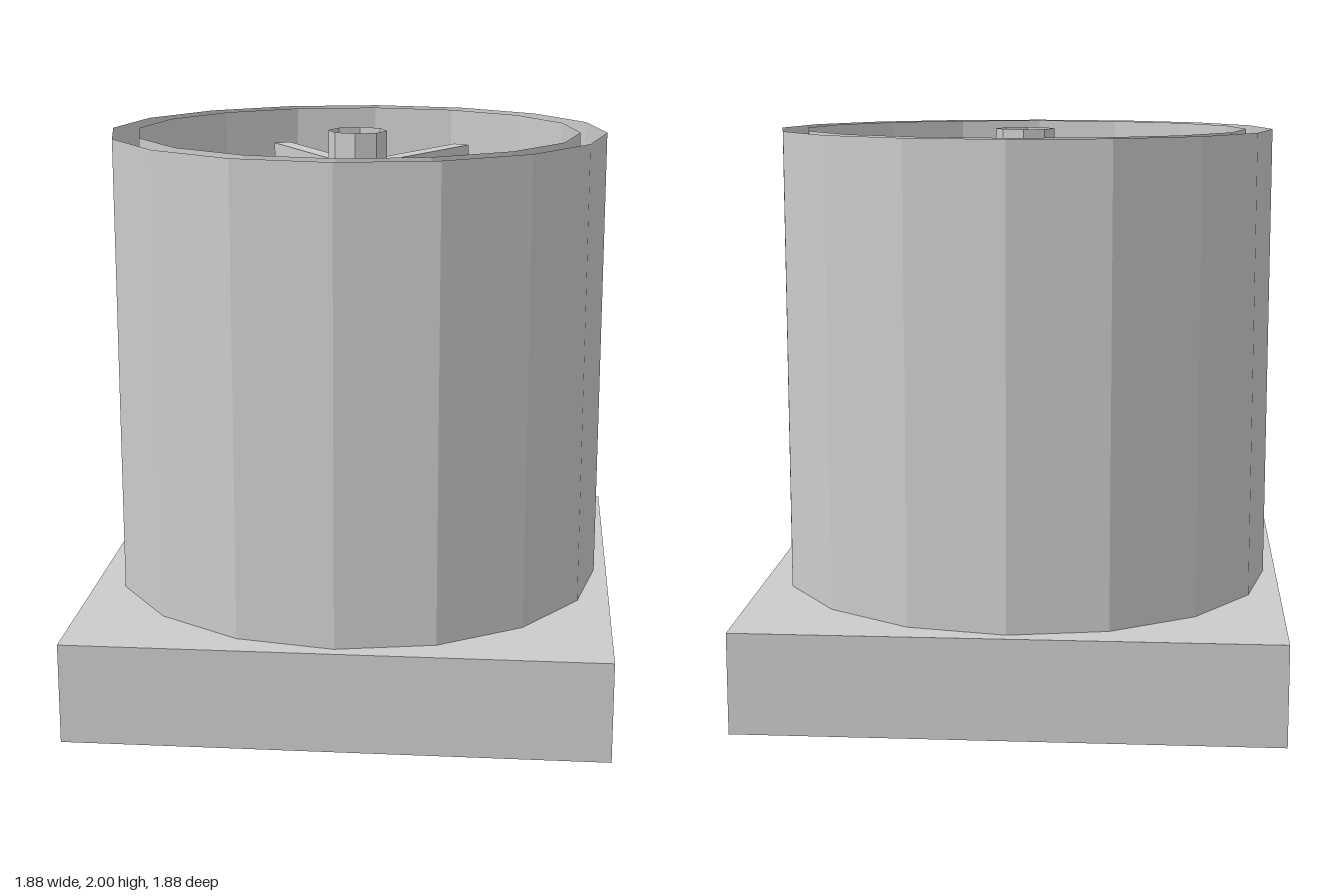
import * as THREE from 'three';

export function createModel() {
  const group = new THREE.Group();
  const solid = new THREE.MeshStandardMaterial({ color: 0xcccccc, flatShading: true });
  const thin = new THREE.MeshStandardMaterial({ color: 0xcccccc, flatShading: true, side: THREE.DoubleSide });
  const baseTop = 0.355, top = 2, vaneTop = 1.88;

  const add = (name, geometry, material, y) => {
    const mesh = new THREE.Mesh(geometry, material);
    mesh.name = name;
    mesh.position.y = y;
    group.add(mesh);
    return mesh;
  };

  // Open-ended wall standing on the base
  const wall = (name, radius, sides) => add(name,
    new THREE.CylinderGeometry(radius, radius, top - baseTop, sides, 1, true),
    thin, (top + baseTop) / 2);

  // Square plinth
  add('base', new THREE.BoxGeometry(1.88, baseTop, 1.88), solid, baseTop / 2);

  // Double-walled drum and central hub, all open at the top
  wall('outerWall', 0.895, 16);
  wall('innerWall', 0.8, 16);
  wall('hub', 0.106, 8);

  // Six radial vanes between the hub and the drum
  const vaneHeight = vaneTop - baseTop;
  const vaneGeometry = new THREE.BoxGeometry(0.565, vaneHeight, 0.066).translate(0.4225, 0, 0);
  for (let i = 0; i < 6; i++) {
    add('vane', vaneGeometry, solid, baseTop + vaneHeight / 2).rotation.y = i * Math.PI / 3;
  }

  return group;
}
